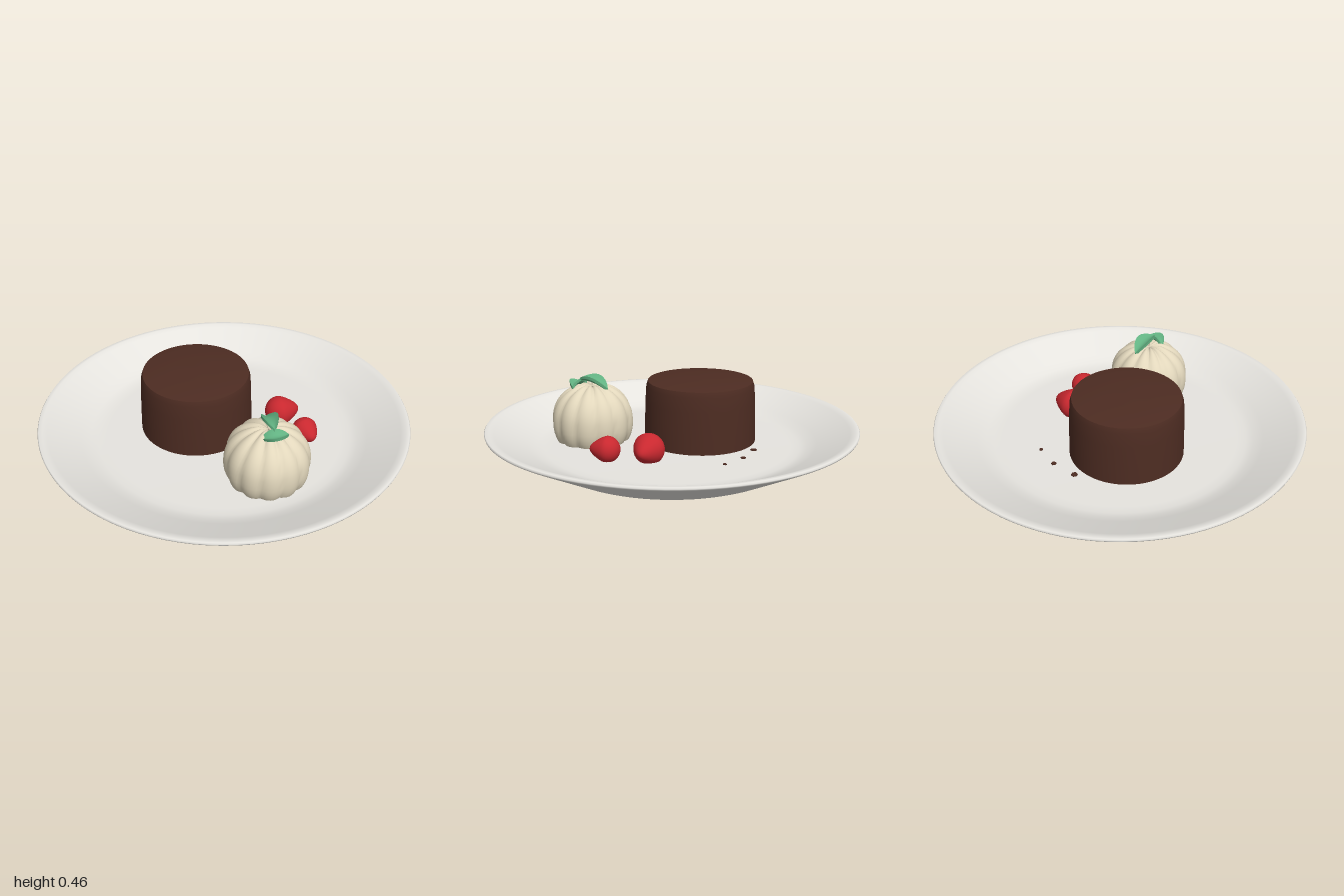
import * as THREE from 'three';

const mat = (name, color, side = THREE.FrontSide) =>
  Object.assign(new THREE.MeshStandardMaterial({ color, side }), { name });

// Move every vertex of a geometry by a rule
function deform(geo, rule) {
  const p = geo.attributes.position, v = new THREE.Vector3();
  for (let i = 0; i < p.count; i++) {
    rule(v.fromBufferAttribute(p, i));
    p.setXYZ(i, v.x, v.y, v.z);
  }
  geo.computeVertexNormals();
  return geo;
}

const lathe = (pts, seg) =>
  new THREE.LatheGeometry(pts.map(([r, y]) => new THREE.Vector2(r, y)), seg);

// Ribbed scoop: closed rings around the vertical axis, lobed and dimpled at the poles
function scoopGeometry(radius, halfHeight, lobes) {
  const rows = 28, cols = lobes * 8, pos = [], index = [];
  for (let j = 0; j <= rows; j++) {
    const a = (j / rows) * Math.PI;
    for (let i = 0; i < cols; i++) {
      const b = (i / cols) * Math.PI * 2 + 0.15 * Math.cos(a);
      const rib = 0.94 + 0.06 * Math.pow(Math.abs(Math.cos((b * lobes) / 2)), 0.8);
      const dimple = 1 - 0.09 * Math.exp(-Math.pow(Math.sin(a) / 0.16, 2));
      const ring = Math.sin(a) * radius * rib;
      const c = Math.cos(a);
      const y = -Math.sign(c) * Math.pow(Math.abs(c), 0.9) * halfHeight * dimple * rib;
      pos.push(ring * Math.cos(b), y, ring * Math.sin(b));
    }
  }
  for (let j = 0; j < rows; j++) for (let i = 0; i < cols; i++) {
    const k = (i + 1) % cols, a = j * cols + i, b = j * cols + k, c = a + cols, d = b + cols;
    index.push(a, c, b, b, c, d);
  }
  const g = new THREE.BufferGeometry();
  g.setAttribute('position', new THREE.Float32BufferAttribute(pos, 3));
  g.setIndex(index);
  g.computeVertexNormals();
  return g;
}

// Pointed leaf along x: cupped across, arched along, optionally curved sideways
function leafGeometry(length, width, curve) {
  return deform(new THREE.BoxGeometry(1, 0.016, 1, 12, 1, 6), v => {
    const t = v.x + 0.5;
    const w = Math.max(0.02, Math.pow(Math.sin(Math.PI * t), 0.8));
    const side = v.z * 2;
    v.y += 0.022 * side * side * w - 0.08 * v.x * v.x;
    v.z = v.z * width * w + curve * (1 - 4 * v.x * v.x);
    v.x *= length;
  });
}

export function createModel() {
  const group = new THREE.Group();
  const china = mat('white china', 0xe6e4df);
  const chocolate = mat('chocolate', 0x4d2c22);
  const cream = mat('cream', 0xe2d7bc);
  const red = mat('berry red', 0xc9282f);
  const green = mat('mint green', 0x62b282, THREE.DoubleSide);

  const add = (name, geo, material, x = 0, y = 0, z = 0) => {
    const m = new THREE.Mesh(geo, material);
    m.name = name;
    m.position.set(x, y, z);
    group.add(m);
    return m;
  };

  // Plate: flat base, sloping wall, thin lip, shallow floor
  add('plate', lathe([
    [0, 0.012], [0.6, 0.012], [0.64, 0.013], [0.66, 0.022], [0.8, 0.095], [0.985, 0.192],
    [0.998, 0.2], [1, 0.207], [0.995, 0.214], [0.975, 0.214], [0.95, 0.204],
    [0.78, 0.126], [0.73, 0.106], [0.69, 0.097], [0.64, 0.095], [0, 0.095],
  ], 96), china);

  // Cake: slightly tapered side with a gently domed top
  add('cakeSide', lathe([[0.306, 0.08], [0.304, 0.18], [0.3, 0.32], [0.295, 0.4], [0.286, 0.428]], 64),
    chocolate, -0.17, 0, 0);
  add('cakeTop', lathe([[0.286, 0.428], [0.22, 0.439], [0.12, 0.447], [0, 0.45]], 64),
    chocolate, -0.17, 0, 0);

  // Ribbed scoop, sunk through the plate floor
  add('scoop', scoopGeometry(0.223, 0.212, 12), cream, 0.368, 0.2, 0.248);

  // Mint leaves on the scoop
  const leafA = add('mintLeafUpper', leafGeometry(0.18, 0.085, 0), green, 0.363, 0.425, 0.22);
  leafA.rotation.set(0, -0.9, 0.24, 'YXZ');
  const leafB = add('mintLeafLower', leafGeometry(0.14, 0.07, 0.025), green, 0.42, 0.402, 0.29);
  leafB.rotation.set(0.15, 0.6, 0.1, 'YXZ');

  // Berries with one pointed end
  [[0.235, 0.155, -0.228, 0.083, 0.75], [0.425, 0.15, -0.128, 0.07, -0.65]].forEach(([x, y, z, r, turn]) => {
    const berry = add('berry', deform(new THREE.SphereGeometry(r, 32, 24), v => {
      const t = Math.max(0, v.x / r), pinch = 1 - 0.2 * t;
      v.x *= 1 + 0.3 * t * t;
      v.y *= pinch;
      v.z *= pinch;
    }), red, x, y, z);
    berry.rotation.y = turn;
  });

  // Crumbs lying almost flush with the floor
  [[-0.335, -0.31, 0.019], [-0.222, -0.4, 0.015], [-0.088, -0.449, 0.011]].forEach(([x, z, r], i) => {
    add('crumb', new THREE.CylinderGeometry(r * 0.9, r, 0.012, 6), chocolate, x, 0.094, z).rotation.y = i;
  });

  return group;
}
